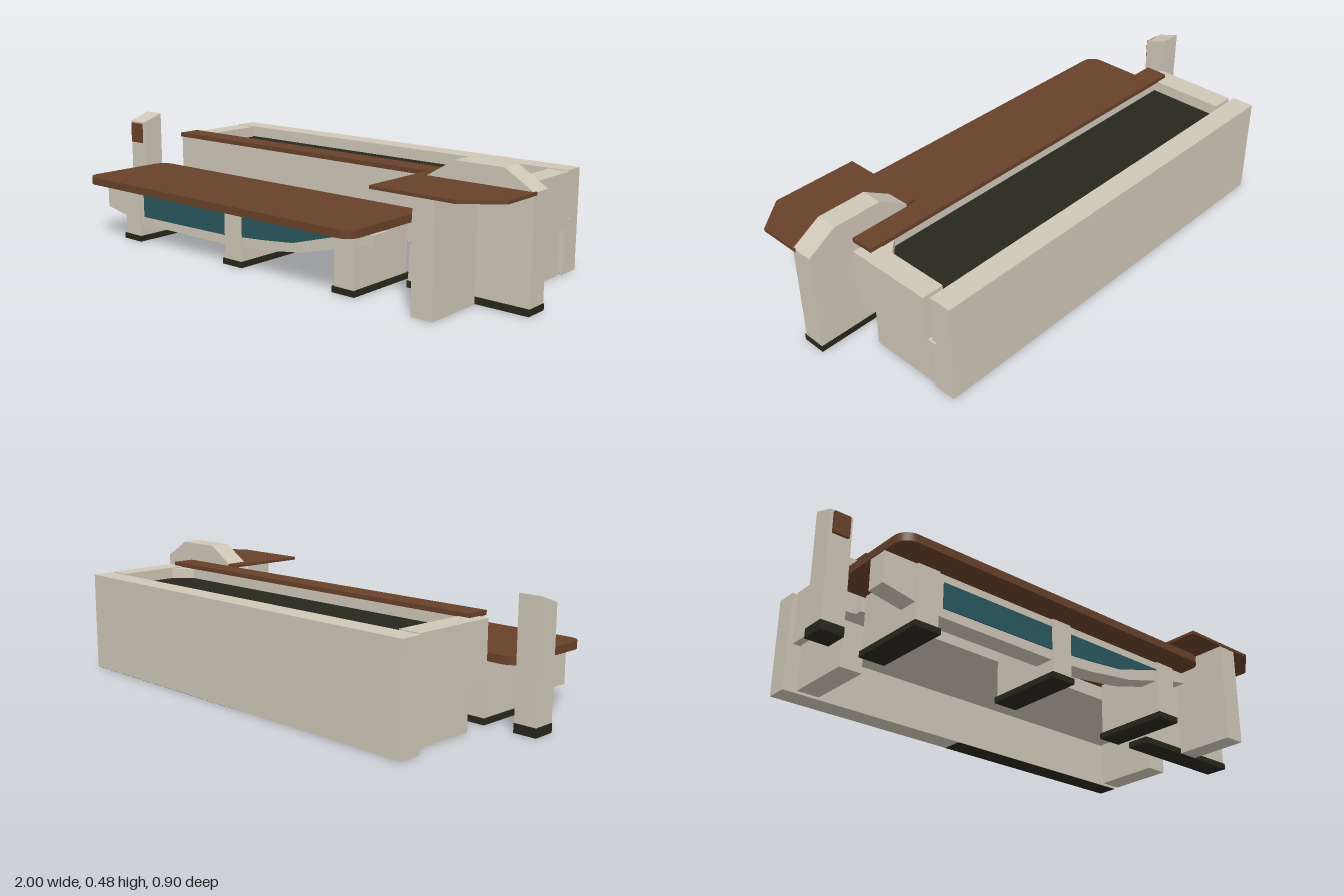
import * as THREE from 'three';

const mat = (name, color) => {
  const m = new THREE.MeshStandardMaterial({ color });
  m.name = name;
  return m;
};

export function createModel() {
  const model = new THREE.Group();
  model.name = 'planterTable';
  const stone = mat('warm grey stone', 0xcfc6b7);
  const wood = mat('brown wood', 0x68412a);
  const dark = mat('dark soil and rubber', 0x28271c);
  const teal = mat('teal panel', 0x28585f);

  const add = (name, geo, material) => {
    const mesh = new THREE.Mesh(geo, material);
    mesh.name = name;
    model.add(mesh);
    return mesh;
  };
  // Box given by its limits on each axis
  const box = (name, material, x0, x1, y0, y1, z0, z1) =>
    add(name, new THREE.BoxGeometry(x1 - x0, y1 - y0, z1 - z0), material)
      .position.set((x0 + x1) / 2, (y0 + y1) / 2, (z0 + z1) / 2);
  const shapeOf = pts => new THREE.Shape(pts.map(p => new THREE.Vector2(...p)));
  const extrude = (shape, depth) =>
    new THREE.ExtrudeGeometry(shape, { depth, bevelEnabled: false, curveSegments: 8 });
  // Upright panel with an (x, y) outline, from z0 to z1
  const panel = (name, material, pts, z0, z1) =>
    add(name, extrude(shapeOf(pts), z1 - z0).translate(0, 0, z0), material);
  // Flat slab with an (x, z) outline, from y0 to y1
  const slab = (name, material, shape, y0, y1) =>
    add(name, extrude(shape, y1 - y0).rotateX(Math.PI / 2).translate(0, y1, 0), material);

  // Planter: back wall, end supports, sides, front, soil and wooden rail
  box('backWall', stone, -0.845, 0.845, 0.001, 0.39, -0.45, -0.362);
  box('wallBasePlate', dark, -0.05, 0.84, 0, 0.001, -0.449, -0.363);
  box('planterSupport', stone, -0.8, -0.71, 0, 0.18, -0.338, -0.062);
  box('planterSupport', stone, 0.745, 0.835, 0, 0.18, -0.338, -0.062);
  box('planterFloor', stone, -0.8, 0.83, 0.18, 0.2, -0.348, 0);
  box('planterSide', stone, -0.83, -0.74, 0.18, 0.39, -0.348, -0.005);
  box('planterSide', stone, 0.775, 0.86, 0.18, 0.39, -0.348, -0.005);
  box('planterFront', stone, -0.787, 0.825, 0.18, 0.388, -0.04, 0.028);
  box('soil', dark, -0.745, 0.78, 0.335, 0.345, -0.363, -0.035);
  box('planterRail', wood, -0.79, 0.825, 0.388, 0.405, -0.054, 0.038);
  box('wallBracket', stone, 0.835, 0.853, 0.18, 0.21, -0.383, -0.345);
  slab('planterCorner', stone,
    shapeOf([[0.71, -0.04], [0.78, -0.04], [0.78, -0.11]]), 0.34, 0.385);

  // Table top with rounded corners
  const x0 = -0.912, x1 = 0.502, z0 = 0.037, z1 = 0.449, r = 0.055;
  const top = new THREE.Shape();
  top.absarc(x1 - r, z1 - r, r, 0, Math.PI / 2);
  top.absarc(x0 + r, z1 - r, r, Math.PI / 2, Math.PI);
  top.absarc(x0 + r, z0 + r, r, Math.PI, Math.PI * 1.5);
  top.absarc(x1 - r, z0 + r, r, Math.PI * 1.5, Math.PI * 2);
  slab('tableTop', wood, top, 0.23, 0.26);

  // Table legs with dark feet
  for (const x of [-0.74, -0.152, 0.395]) {
    box('tableLeg', stone, x - 0.044, x + 0.044, 0.02, 0.23, 0.05, 0.351);
    box('tableFoot', dark, x - 0.051, x + 0.051, 0, 0.022, 0.042, 0.357);
  }

  // Apron under the table with a teal inlay
  panel('tableApron', stone, [
    [-0.91, 0.23], [-0.91, 0.115], [-0.68, 0.072], [-0.2, 0.072], [0, 0.085],
    [0.2, 0.112], [0.45, 0.18], [0.515, 0.19], [0.515, 0.23],
  ], 0.265, 0.343);
  panel('apronInlay', teal, [
    [-0.675, 0.2], [-0.675, 0.105], [-0.2, 0.11], [0, 0.125], [0.15, 0.14], [0.36, 0.2],
  ], 0.341, 0.347);

  // Free-standing post with a sloped top and a wooden plaque
  const post = extrude(shapeOf([[-0.138, 0.03], [-0.047, 0.03], [-0.047, 0.478], [-0.138, 0.447]]), 0.088);
  add('post', post.rotateY(Math.PI / 2).translate(-0.999, 0, 0), stone);
  box('postFoot', dark, -1, -0.91, 0, 0.035, 0.046, 0.139);
  box('postPlaque', wood, -0.987, -0.924, 0.358, 0.44, 0.134, 0.149);

  // Counter: upright wing, foot, pedestal and wooden top
  panel('counterWing', stone, [
    [0.507, 0.022], [0.998, 0.022], [0.998, 0.41], [0.885, 0.478], [0.69, 0.478],
    [0.56, 0.4], [0.525, 0.35],
  ], 0.047, 0.133);
  box('counterFoot', dark, 0.506, 1, 0, 0.024, 0.045, 0.14);
  box('counterPedestal', stone, 0.71, 0.795, 0, 0.402, 0.145, 0.388);
  slab('counterTop', wood, shapeOf([
    [0.535, 0.043], [0.575, 0.043], [0.585, 0.12], [1, 0.12], [1, 0.29], [0.875, 0.392], [0.535, 0.392],
  ]), 0.4, 0.412);

  return model;
}
